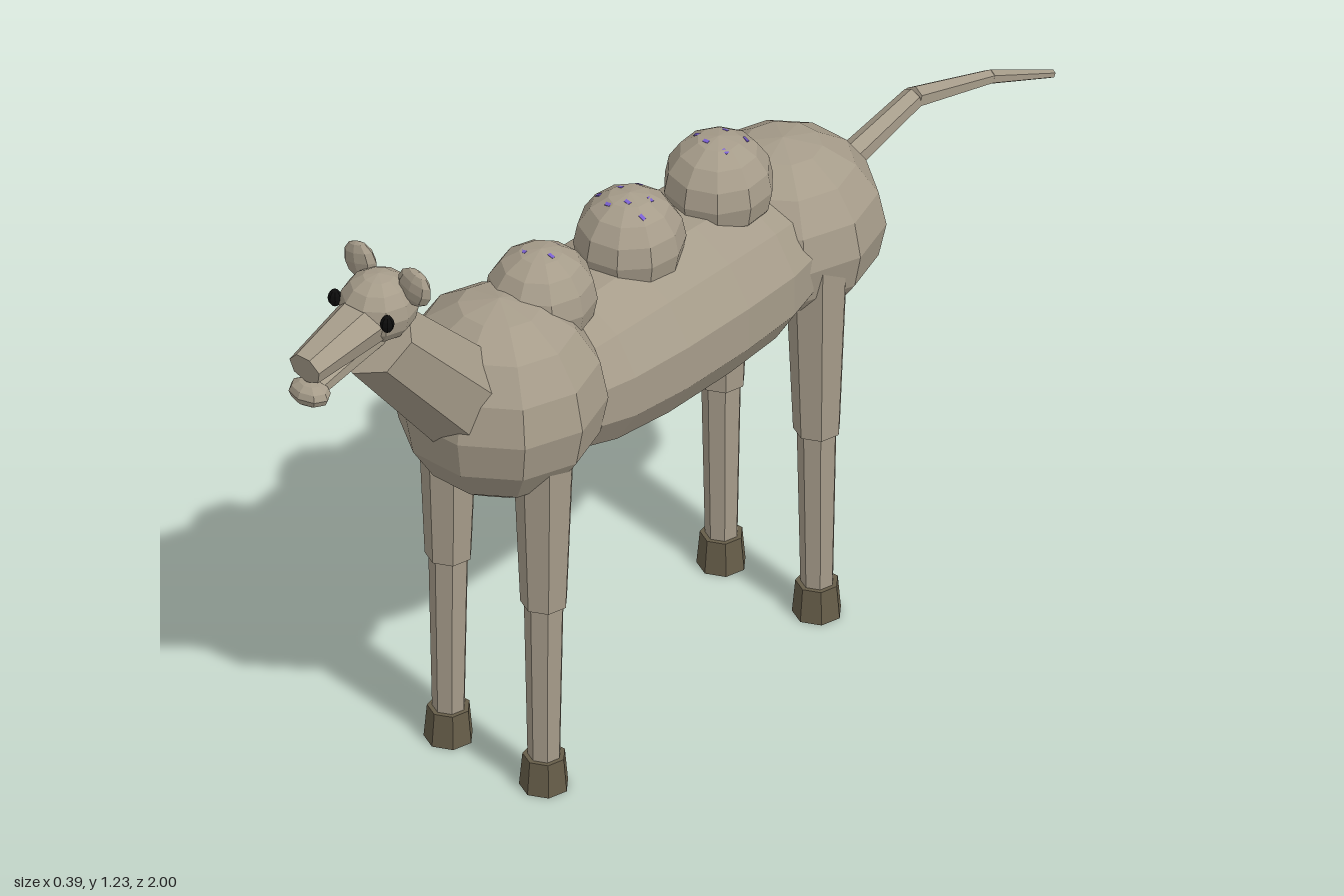
import * as THREE from 'three';

const flat = (name, color) => {
  const m = new THREE.MeshStandardMaterial({ color, flatShading: true });
  m.name = name;
  return m;
};

export function createModel() {
  const model = new THREE.Group();
  model.name = 'humpedAnimal';
  const hide = flat('hide', 0xa69c8a);
  const hoofMat = flat('hoof', 0x665d49);
  const black = flat('eyeBlack', 0x0c0c0c);
  const purple = flat('purpleFleck', 0x7a5fd0);

  const add = (name, geo, mat, parent = model) => {
    const mesh = new THREE.Mesh(geo, mat);
    mesh.name = name;
    parent.add(mesh);
    return mesh;
  };

  // Faceted ellipsoid at p with radii r
  const blob = (name, p, r, w = 10, h = 8, mat = hide) => {
    const mesh = add(name, new THREE.SphereGeometry(1, w, h), mat);
    mesh.position.set(...p);
    mesh.scale.set(...r);
    return mesh;
  };

  // Tapered prism from point a to point b
  const limb = (name, a, b, ra, rb, sides = 7, mat = hide, parent = model) => {
    const A = new THREE.Vector3(...a), B = new THREE.Vector3(...b);
    const dir = B.clone().sub(A);
    const mesh = add(name, new THREE.CylinderGeometry(rb, ra, dir.length(), sides), mat, parent);
    mesh.position.copy(A).add(B).multiplyScalar(0.5);
    mesh.quaternion.setFromUnitVectors(new THREE.Vector3(0, 1, 0), dir.normalize());
    return mesh;
  };

  // Trunk: shoulder, barrel, rump
  blob('shoulder', [0, 0.79, 0.465], [0.197, 0.197, 0.188]);
  blob('rump', [0, 0.772, -0.285], [0.184, 0.174, 0.184]);
  const profile = [[0, -0.25], [0.09, -0.24], [0.14, -0.2], [0.157, -0.13], [0.165, 0.0],
    [0.166, 0.16], [0.157, 0.29], [0.14, 0.36], [0.09, 0.4], [0, 0.41]]
    .map(([r, z]) => new THREE.Vector2(r, z));
  const barrel = add('barrel', new THREE.LatheGeometry(profile, 12), hide);
  barrel.geometry.rotateY(Math.PI / 12).rotateX(Math.PI / 2).scale(1.1, 1, 1);
  barrel.position.y = 0.762;

  // Humps with tiny flecks near the crown
  [[0.355, 3], [0.12, 7], [-0.115, 5]].forEach(([z, flecks], n) => {
    const hump = blob('hump', [0, 0.936, z], [0.1, 0.1, 0.102], 10, 8);
    hump.rotation.y = n * 0.2;
    for (let i = 0; i < flecks; i++) {
      const a = i * 2.4 + n, t = 0.25 + 0.07 * i;
      const d = new THREE.Vector3(Math.sin(t) * Math.cos(a), Math.cos(t), Math.sin(t) * Math.sin(a));
      const fleck = add('fleck', new THREE.BoxGeometry(0.012, 0.004, 0.007), purple);
      fleck.quaternion.setFromUnitVectors(new THREE.Vector3(0, 1, 0), d);
      fleck.position.copy(d).multiplyScalar(0.097).add(hump.position);
    }
  });

  // Legs
  for (const [end, z] of [['front', 0.472], ['rear', -0.25]]) {
    for (const s of [1, -1]) {
      const leg = new THREE.Group();
      leg.name = end + (s > 0 ? 'LeftLeg' : 'RightLeg');
      leg.position.set(s * 0.113, 0, z);
      limb('upperLeg', [0, 0.392, 0], [0, 0.76, 0], 0.043, 0.058, 7, hide, leg);
      limb('lowerLeg', [0, 0.06, 0], [0, 0.42, 0], 0.03, 0.037, 7, hide, leg);
      limb('hoof', [0, 0, 0], [0, 0.066, 0], 0.045, 0.039, 7, hoofMat, leg);
      model.add(leg);
    }
  }

  // Neck and head
  limb('neck', [0, 0.81, 0.545], [0, 1.078, 0.796], 0.1, 0.079);
  blob('skull', [0, 1.138, 0.785], [0.071, 0.066, 0.073], 10, 8);
  const snout = limb('snout', [0, 1.13, 0.80], [0, 1.098, 0.98], 0.057, 0.036, 7);
  snout.scale.z = 0.85;
  const jaw = limb('jaw', [0, 1.085, 0.80], [0, 1.046, 0.965], 0.032, 0.024, 6);
  jaw.scale.z = 0.7;
  blob('lip', [0, 1.043, 0.967], [0.043, 0.024, 0.031], 8, 6);
  for (const s of [1, -1]) {
    const side = s > 0 ? 'left' : 'right';
    blob(side + 'Ear', [s * 0.064, 1.191, 0.761], [0.039, 0.038, 0.016], 8, 6).rotation.z = s * -0.25;
    blob(side + 'Eye', [s * 0.062, 1.147, 0.831], [0.013, 0.017, 0.013], 8, 6, black);
  }

  // Tail in three tapering segments
  const tail = [[0.805, -0.43, 0.026], [0.854, -0.63, 0.021], [0.795, -0.83, 0.014], [0.716, -0.997, 0.008]];
  for (let i = 0; i < 3; i++) {
    const [ya, za, ra] = tail[i], [yb, zb, rb] = tail[i + 1];
    limb('tail', [0, ya, za], [0, yb, zb], ra, rb, 6);
  }
  return model;
}
